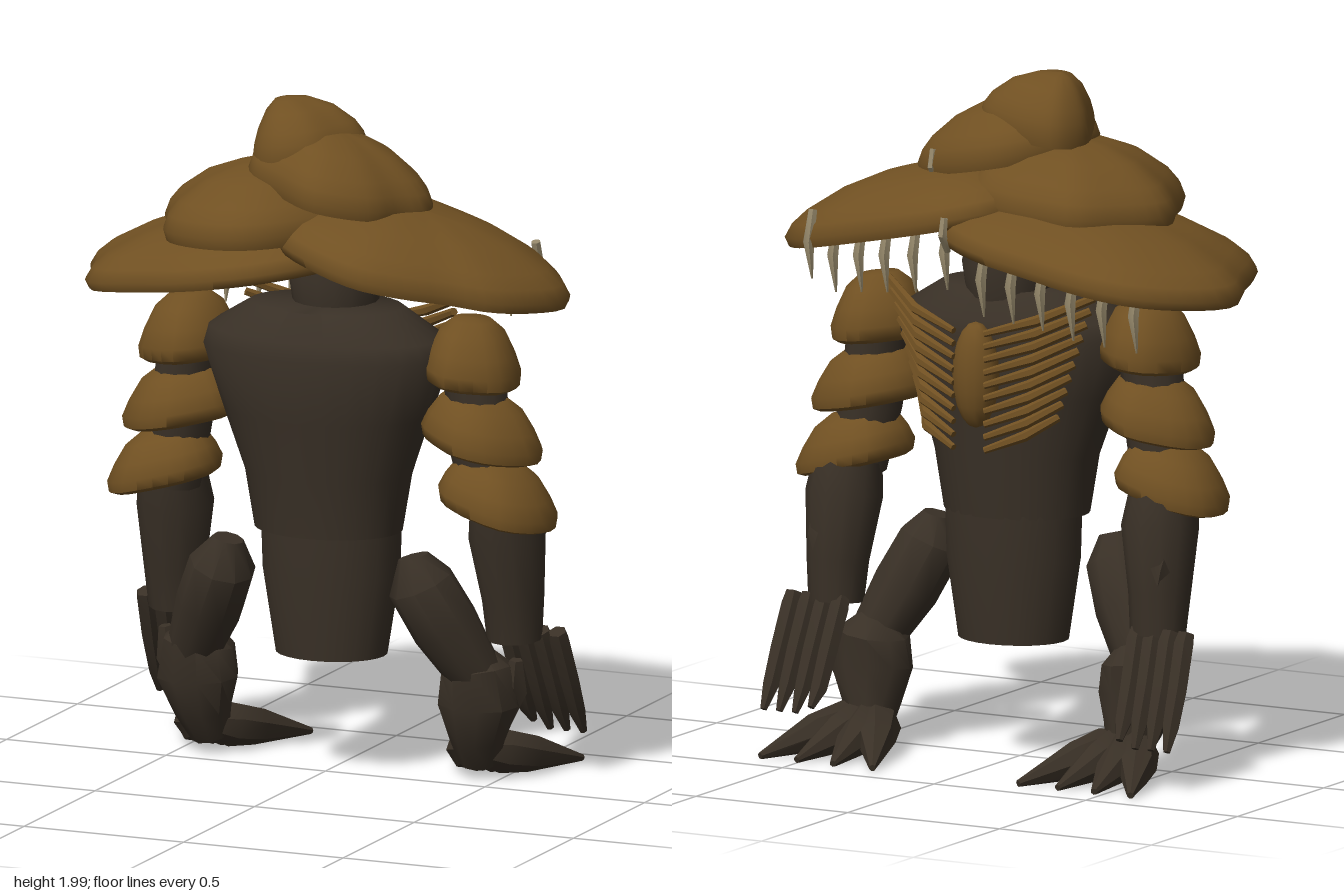
import * as THREE from 'three';
import { toCreasedNormals } from 'three/addons/utils/BufferGeometryUtils.js';

const capBrown = new THREE.MeshStandardMaterial({ color: 0x705022 });
const darkBark = new THREE.MeshStandardMaterial({ color: 0x393026 });
const bone = new THREE.MeshStandardMaterial({ color: 0x94876a });

function mesh(group, name, geometry, material, crease = 0.75) {
  const m = new THREE.Mesh(toCreasedNormals(geometry, crease), material);
  m.name = name;
  group.add(m);
  return m;
}

function build(positions, indices) {
  const g = new THREE.BufferGeometry();
  g.setAttribute('position', new THREE.Float32BufferAttribute(positions, 3));
  g.setIndex(indices);
  return g;
}

// Joins equal rings of points into a skin
function skin(index, rings, n) {
  for (let i = 0; i < rings - 1; i++) {
    for (let j = 0; j < n; j++) {
      const a = i * n + j, b = i * n + (j + 1) % n;
      index.push(a, b, a + n, b, b + n, a + n);
    }
  }
}

// Mushroom cap: outline in x and z, scaled ring by ring along a dome profile
const DOME = [[0.001, 1], [0.3, 0.96], [0.6, 0.8], [0.85, 0.54], [0.95, 0.36],
  [1, 0.16], [0.97, 0], [0.6, 0.08], [0.001, 0.14]];
const PAD = [[0.001, 1], [0.4, 0.97], [0.68, 0.8], [0.88, 0.5], [1, 0.24],
  [0.97, 0.06], [0.85, 0], [0.55, 0.22], [0.001, 0.3]];
function capGeometry(outline, [cx, cz], base, slope, height, profile = DOME, n = 48) {
  const curve = new THREE.CatmullRomCurve3(
    outline.map(([x, z]) => new THREE.Vector3(x, 0, z)), true);
  const rim = curve.getSpacedPoints(n).slice(0, n);
  const pos = [], idx = [];
  for (const [t, h] of profile) {
    for (const p of rim) {
      const x = cx + (p.x - cx) * t;
      pos.push(x, base + slope * (x - cx) + h * height, cz + (p.z - cz) * t);
    }
  }
  skin(idx, profile.length, n);
  return build(pos, idx);
}

// Tapered limb through points [x, y, z, radius, optional second radius]
function limbGeometry(points, sides = 8) {
  const P = points.map(p => new THREE.Vector3(p[0], p[1], p[2]));
  const last = P.length - 1, pos = [], idx = [];
  P.forEach((p, i) => {
    const T = P[Math.min(i + 1, last)].clone().sub(P[Math.max(i - 1, 0)]).normalize();
    const ref = Math.abs(T.z) > 0.9 ? new THREE.Vector3(0, 1, 0) : new THREE.Vector3(0, 0, 1);
    const u = ref.cross(T).normalize(), v = T.clone().cross(u);
    const ru = points[i][3], rv = points[i][4] ?? ru;
    for (let j = 0; j < sides; j++) {
      const a = (j / sides) * Math.PI * 2;
      const q = p.clone().addScaledVector(u, Math.cos(a) * ru).addScaledVector(v, Math.sin(a) * rv);
      pos.push(q.x, q.y, q.z);
    }
  });
  skin(idx, P.length, sides);
  const s = P.length * sides, e = s + 1, off = last * sides;
  pos.push(...P[0].toArray(), ...P[last].toArray());
  for (let j = 0; j < sides; j++) {
    const k = (j + 1) % sides;
    idx.push(s, k, j, e, off + j, off + k);
  }
  return build(pos, idx);
}

export function createModel() {
  const model = new THREE.Group();
  model.name = 'fungusCreature';

  // Trunk
  mesh(model, 'chest', limbGeometry([[0.01, 0.73, 0, 0.22, 0.175], [0.01, 0.9, 0, 0.25, 0.19],
    [0.01, 1.08, 0.01, 0.315, 0.21], [0.01, 1.26, 0.01, 0.38, 0.23], [0.01, 1.31, 0.01, 0.36, 0.215],
    [0.01, 1.39, 0.01, 0.23, 0.16]], 28), darkBark, 0.95);
  mesh(model, 'pelvis', limbGeometry([[0.01, 0.36, -0.02, 0.165, 0.14], [0.01, 0.6, -0.02, 0.205, 0.155],
    [0.01, 0.74, -0.02, 0.21, 0.155]], 24), darkBark);
  mesh(model, 'head', limbGeometry([[0.01, 1.36, -0.05, 0.12], [0.01, 1.46, -0.05, 0.135],
    [0.01, 1.58, -0.05, 0.1]], 16), darkBark);

  // Stacked caps
  const caps = new THREE.Group();
  caps.name = 'caps';
  model.add(caps);
  const crease = 1.2;
  mesh(caps, 'lowRightCap', capGeometry([[0.2, -0.1], [0.15, 0.2], [-0.03, 0.38], [-0.25, 0.415],
    [-0.42, 0.37], [-0.62, 0.28], [-0.7, 0.08], [-0.76, -0.08], [-0.7, -0.24], [-0.58, -0.36],
    [-0.43, -0.4], [-0.2, -0.38], [-0.05, -0.36], [0.1, -0.28]],
  [-0.28, 0], 1.475, 0.16, 0.17), capBrown, crease);
  mesh(caps, 'lowLeftCap', capGeometry([[0.755, -0.02], [0.72, 0.1], [0.63, 0.23], [0.52, 0.29],
    [0.41, 0.37], [0.28, 0.425], [0.12, 0.39], [-0.02, 0.3], [-0.08, 0.05], [-0.05, -0.2],
    [0.05, -0.28], [0.15, -0.3], [0.4, -0.27], [0.6, -0.21], [0.7, -0.12]],
  [0.33, 0.06], 1.525, -0.22, 0.18), capBrown, crease);
  mesh(caps, 'middleCap', capGeometry([[0.15, 0], [0.12, 0.2], [0, 0.36], [-0.1, 0.41],
    [-0.22, 0.4], [-0.36, 0.32], [-0.42, 0.18], [-0.48, 0.02], [-0.4, -0.12], [-0.3, -0.22],
    [-0.2, -0.225], [-0.05, -0.21], [0.08, -0.15]],
  [-0.14, 0.08], 1.61, 0.06, 0.205), capBrown, crease);
  mesh(caps, 'upperCap', capGeometry([[0.35, 0.05], [0.3, 0.14], [0.25, 0.24], [0.1, 0.32],
    [-0.05, 0.26], [-0.15, 0.2], [-0.18, 0.05], [-0.1, -0.08], [0, -0.14], [0.12, -0.14],
    [0.25, -0.09], [0.32, -0.03]], [0.07, 0.08], 1.73, -0.2, 0.19), capBrown, crease);
  mesh(caps, 'topCap', capGeometry([[0.14, 0.02], [0.11, 0.1], [0.05, 0.2], [-0.05, 0.235],
    [-0.13, 0.2], [-0.18, 0.1], [-0.2, 0.02], [-0.16, -0.07], [-0.08, -0.09], [0, -0.08],
    [0.1, -0.04]], [-0.1, 0.07], 1.81, 0.12, 0.19), capBrown, crease);

  // Teeth hanging under the rear rim: [x, z, root height]
  const teeth = [[-0.54, -0.27, 1.48], [-0.44, -0.28, 1.49], [-0.34, -0.285, 1.5],
    [-0.24, -0.285, 1.52], [-0.14, -0.28, 1.53], [-0.04, -0.275, 1.54], [0.1, -0.24, 1.6],
    [0.21, -0.23, 1.58], [0.31, -0.22, 1.57], [0.4, -0.21, 1.56], [0.49, -0.2, 1.55], [0.575, -0.19, 1.58]];
  for (const [x, z, y] of teeth) {
    mesh(model, 'tooth', limbGeometry([[x, y, z, 0.014], [x, y - 0.09, z - 0.025, 0.018],
      [x, y - 0.2, z - 0.005, 0.003]], 6), bone);
  }
  // Spikes poking through the caps
  for (const [x, y, z] of [[0.24, 1.77, -0.08], [0.08, 1.62, -0.3]]) {
    mesh(model, 'spike', limbGeometry([[x, y, z, 0.012], [x, y - 0.05, z - 0.01, 0.014],
      [x, y - 0.1, z + 0.02, 0.01]], 6), bone);
  }

  // Breastbone and ribs on the rear of the chest
  mesh(model, 'breastbone', new THREE.SphereGeometry(1, 16, 10)
    .scale(0.07, 0.155, 0.06).translate(0.01, 1.16, -0.24), capBrown, 1.2);

  for (const s of [1, -1]) {
    for (let i = 0; i < 10; i++) {
      const k = i / 9, y = 1.29 - 0.34 * k;
      mesh(model, 'rib', limbGeometry([[0.01 + s * (0.34 - 0.12 * k), y + 0.11 - 0.02 * k, -0.15, 0.012],
        [0.01 + s * (0.2 - 0.04 * k), y + 0.045, -0.24, 0.016],
        [0.01 + s * 0.05, y, -0.28, 0.01]], 6), capBrown);
    }

    // Arm
    const arm = new THREE.Group();
    arm.name = s > 0 ? 'leftArm' : 'rightArm';
    arm.position.x = 0.014;
    model.add(arm);
    mesh(arm, 'upperArm', limbGeometry([[s * 0.4, 1.33, -0.01, 0.08], [s * 0.45, 1.2, -0.01, 0.09],
      [s * 0.47, 1, -0.01, 0.09], [s * 0.51, 0.82, -0.03, 0.09]], 12), darkBark);
    mesh(arm, 'forearm', limbGeometry([[s * 0.52, 0.83, -0.06, 0.1], [s * 0.52, 0.74, -0.08, 0.112],
      [s * 0.53, 0.55, -0.1, 0.09], [s * 0.53, 0.43, -0.11, 0.08]], 12), darkBark);
    mesh(arm, 'forearmKnot', limbGeometry([[s * 0.58, 0.72, -0.13, 0.015], [s * 0.56, 0.63, -0.15, 0.04],
      [s * 0.54, 0.5, -0.16, 0.012]], 6), darkBark);
    for (let i = 0; i < 4; i++) {
      const x = 0.49 + i * 0.052, drop = i === 0 ? 0.02 : 0;
      mesh(arm, 'finger', limbGeometry([[s * x, 0.45, -0.15, 0.026], [s * x, 0.42, -0.165, 0.032],
        [s * (x + 0.008), 0.3, -0.215, 0.031], [s * (x + 0.012), 0.2, -0.26, 0.027],
        [s * (x + 0.018), 0.13 + drop, -0.295, 0.011]], 6), darkBark);
    }

    // Cap-shaped arm pads: [x, base, radius, slope, height]
    [[0.445, 1.19, 0.14, -0.1, 0.195], [0.472, 0.995, 0.172, -0.2, 0.175],
      [0.522, 0.81, 0.172, -0.26, 0.17]].forEach(([x, base, r, slope, h], row) => {
      const outline = [];
      for (let j = 0; j < 11; j++) {
        const a = (j / 11) * Math.PI * 2, w = 1 + 0.04 * Math.sin(j * 2.4 + row * 1.7);
        outline.push([s * (x + Math.cos(a) * r * w), -0.01 + Math.sin(a) * 0.157 * w]);
      }
      if (s < 0) outline.reverse();
      mesh(arm, 'armPad', capGeometry(outline, [s * x, -0.01], base, s * slope, h, PAD, 22), capBrown, 0.9);
    });

    // Leg
    const leg = new THREE.Group();
    leg.name = s > 0 ? 'leftLeg' : 'rightLeg';
    leg.position.x = 0.008;
    model.add(leg);
    mesh(leg, 'thigh', limbGeometry([[s * 0.29, 0.68, 0.05, 0.045], [s * 0.31, 0.6, 0.045, 0.098],
      [s * 0.37, 0.47, 0, 0.1], [s * 0.44, 0.33, -0.05, 0.08]], 9), darkBark);
    mesh(leg, 'shin', limbGeometry([[s * 0.42, 0.39, -0.07, 0.05], [s * 0.435, 0.34, -0.07, 0.105],
      [s * 0.44, 0.24, -0.07, 0.125, 0.1], [s * 0.43, 0.14, -0.09, 0.085], [s * 0.42, 0.06, -0.12, 0.06]], 10), darkBark);
    mesh(leg, 'shinPlate', limbGeometry([[s * 0.55, 0.37, -0.09, 0.02], [s * 0.54, 0.28, -0.1, 0.04],
      [s * 0.51, 0.17, -0.1, 0.015]], 5), darkBark);
    // Fan of four clawed toes
    for (const [mid, tip] of [[0.33, 0.24], [0.395, 0.37], [0.46, 0.49], [0.53, 0.61]]) {
      mesh(leg, 'toe', limbGeometry([[s * 0.42, 0.1, -0.08, 0.04], [s * (mid + 0.42) / 2, 0.085, -0.15, 0.066],
        [s * mid, 0.065, -0.24, 0.056], [s * tip, 0.02, -0.42, 0.01]], 7), darkBark);
    }
  }
  return model;
}
